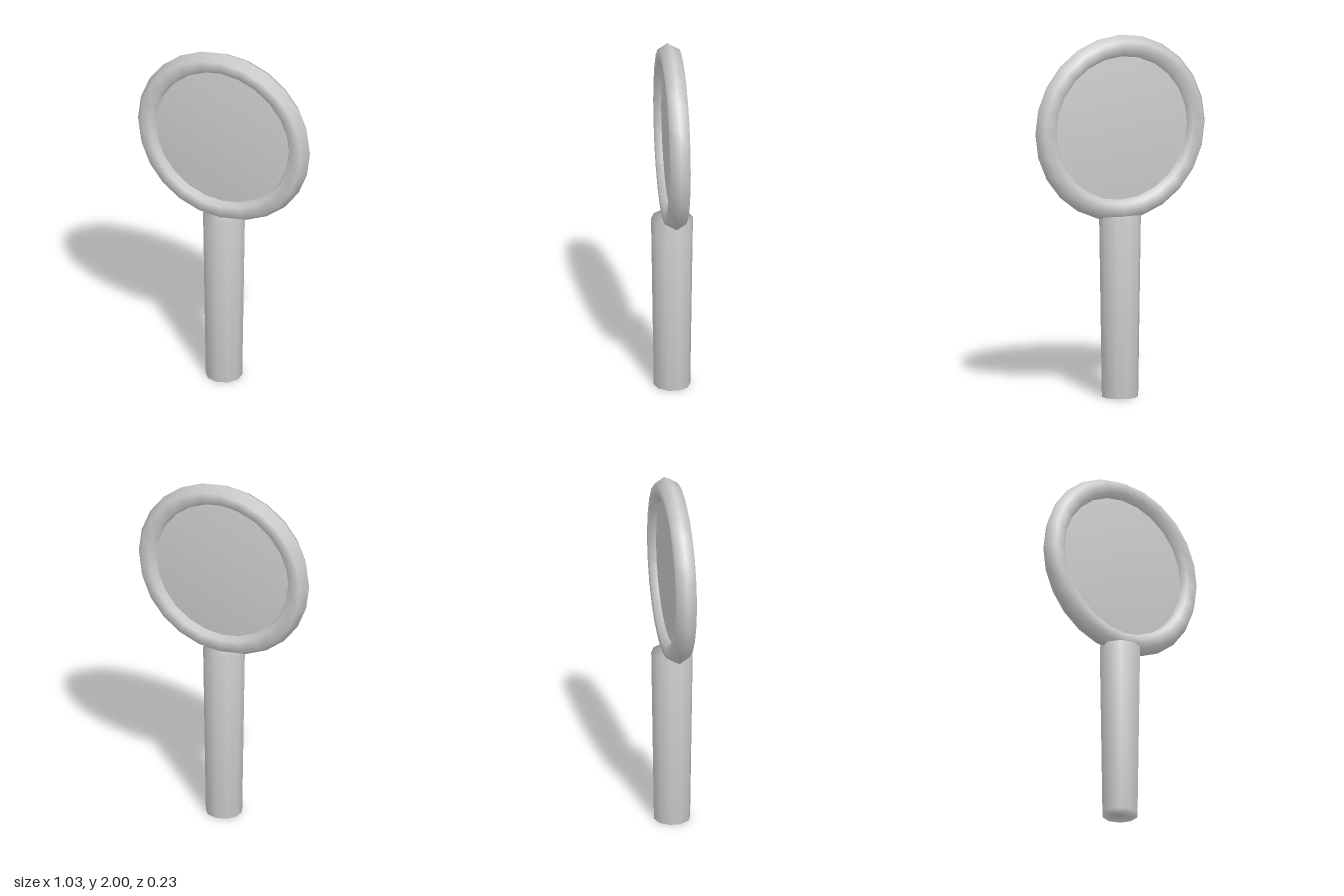
import * as THREE from 'three';

const CENTRE_Y = 1.487;

export function createModel() {
  const model = new THREE.Group();
  model.name = 'handMirror';
  const grey = new THREE.MeshStandardMaterial({ color: 0xcccccc });
  grey.name = 'lightGrey';

  const add = (name, geometry, y) => {
    const mesh = new THREE.Mesh(geometry, grey);
    mesh.name = name;
    mesh.position.y = y;
    model.add(mesh);
    return mesh;
  };

  // Closed solid of revolution whose smooth shading runs over its rims
  const solid = (bottomRadius, topRadius, y0, y1, sides) =>
    new THREE.LatheGeometry([
      new THREE.Vector2(0, y0),
      new THREE.Vector2(bottomRadius, y0),
      new THREE.Vector2(topRadius, y1),
      new THREE.Vector2(0, y1),
    ], sides);

  // Ten-sided handle, widening slightly towards the frame
  add('handle', solid(0.1, 0.115, 0, 1, 10), 0);

  // Round frame with a six-sided section
  add('frame', new THREE.TorusGeometry(0.449, 0.064, 6, 24), CENTRE_Y);

  // Thin glass disc, its rim buried in the frame
  const glass = add('glass', solid(0.41, 0.41, -0.02, 0.02, 48), CENTRE_Y);
  glass.rotation.x = Math.PI / 2;

  return model;
}
